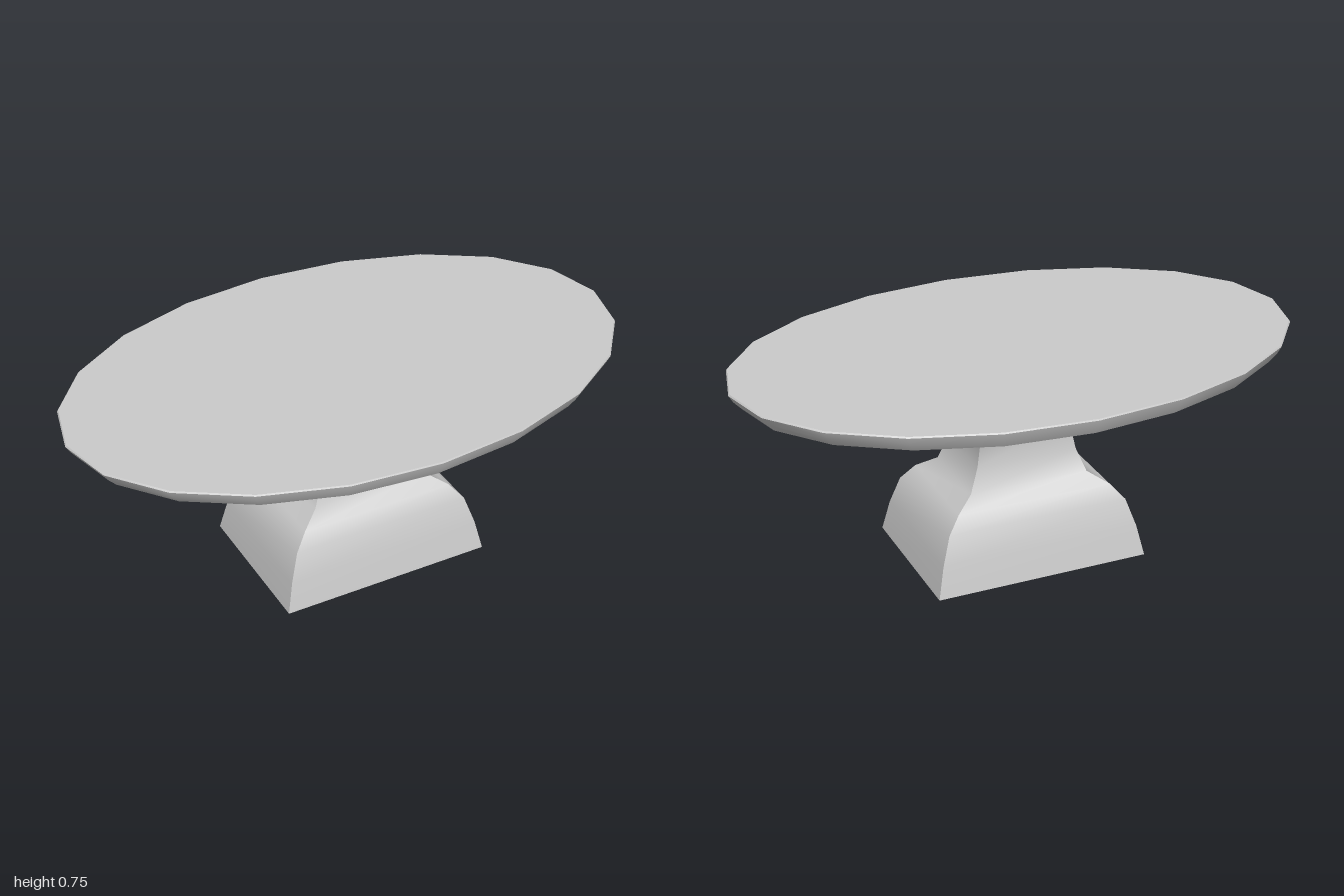
import * as THREE from 'three';
import { mergeGeometries, toCreasedNormals } from 'three/addons/utils/BufferGeometryUtils.js';

const CX = 0.022, CZ = -0.01; // pedestal centre

// Pedestal cross-sections: height, half width, half depth
const SECTIONS = [
  [0, 0.384, 0.275],
  [0.11, 0.36, 0.255],
  [0.21, 0.327, 0.231],
  [0.265, 0.28, 0.2],
  [0.305, 0.215, 0.151],
  [0.39, 0.182, 0.131],
  [0.495, 0.162, 0.117],
  [0.6, 0.232, 0.169],
  [0.63, 0.311, 0.22],
  [0.69, 0.311, 0.22],
];
const CORNERS = [[-1, 1], [1, 1], [1, -1], [-1, -1]];

// One face of the pedestal, smooth up its height and sharp at its corners
function pedestalSide(side) {
  const a = CORNERS[side], b = CORNERS[(side + 1) % 4];
  const positions = [], index = [];
  SECTIONS.forEach(([y, w, d], i) => {
    for (const [sx, sz] of [a, b]) positions.push(sx * w, y, sz * d);
    if (i > 0) {
      const k = (i - 1) * 2;
      index.push(k, k + 1, k + 3, k, k + 3, k + 2);
    }
  });
  const geometry = new THREE.BufferGeometry();
  geometry.setAttribute('position', new THREE.Float32BufferAttribute(positions, 3));
  geometry.setIndex(index);
  return toCreasedNormals(geometry, THREE.MathUtils.degToRad(55));
}

export function createModel() {
  const model = new THREE.Group();
  model.name = 'pedestalTable';
  const material = new THREE.MeshStandardMaterial({ color: 0xcccccc });

  // Oval top with a bevelled lower rim
  const profile = [[0, 0.69], [0.957, 0.69], [0.985, 0.72], [1, 0.745], [0.996, 0.75], [0, 0.75]]
    .map(([r, y]) => new THREE.Vector2(r, y));
  const topGeometry = new THREE.LatheGeometry(profile, 20);
  topGeometry.scale(1, 1, 0.638);
  const top = new THREE.Mesh(toCreasedNormals(topGeometry, THREE.MathUtils.degToRad(38)), material);
  top.name = 'tableTop';
  model.add(top);

  // Four-sided flared pedestal
  const pedestal = new THREE.Group();
  pedestal.name = 'pedestal';
  pedestal.position.set(CX, 0, CZ);
  const sides = new THREE.Mesh(mergeGeometries([0, 1, 2, 3].map(pedestalSide)), material);
  sides.name = 'pedestalSides';
  const [, halfW, halfD] = SECTIONS[0];
  const base = new THREE.Mesh(new THREE.PlaneGeometry(halfW * 2, halfD * 2).rotateX(Math.PI / 2), material);
  base.name = 'pedestalUnderside';
  pedestal.add(sides, base);
  model.add(pedestal);

  return model;
}
